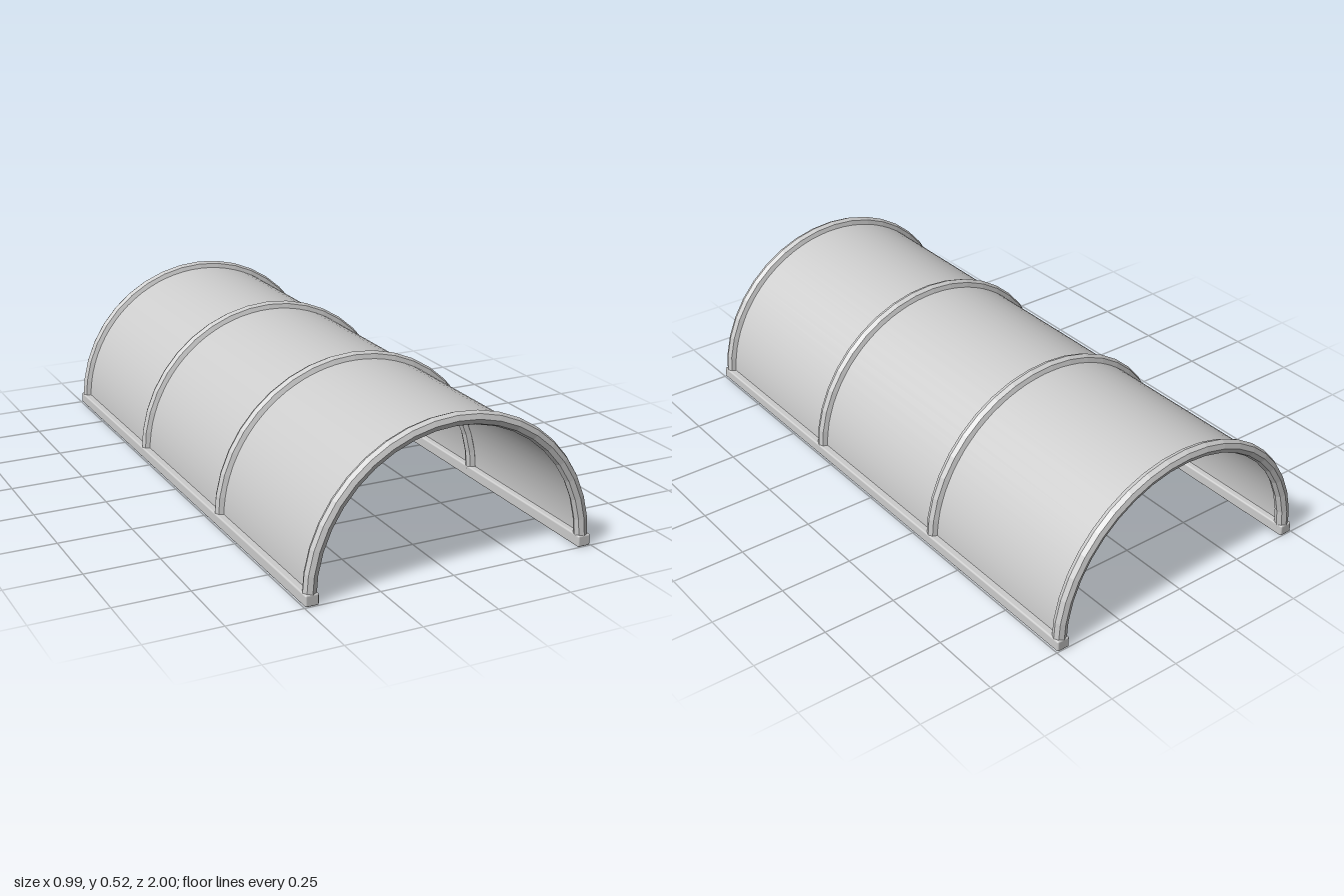
import * as THREE from 'three';
import { RoundedBoxGeometry } from 'three/addons/geometries/RoundedBoxGeometry.js';

const RADIUS = 0.4745, TUBE = 0.0225, BASE = 0.0195, SEGMENTS = 20;

export function createModel() {
  const group = new THREE.Group();
  const skin = new THREE.MeshStandardMaterial({ color: 0xcccccc, side: THREE.DoubleSide });
  skin.name = 'light grey skin';
  const frame = skin.clone();
  frame.name = 'light grey frame';
  frame.flatShading = true;

  const add = (name, geometry, material, x, y, z) => {
    const mesh = new THREE.Mesh(geometry, material);
    mesh.name = name;
    mesh.position.set(x, y, z);
    group.add(mesh);
  };

  // thin half-cylinder cover
  const cover = new THREE.CylinderGeometry(RADIUS, RADIUS, 1.956, SEGMENTS * 2, 1, true, -Math.PI / 2, Math.PI);
  cover.rotateX(-Math.PI / 2);
  add('cover', cover, skin, 0, BASE, 0);

  // eight-sided arched ribs
  const rib = new THREE.TorusGeometry(RADIUS, TUBE, 8, SEGMENTS, Math.PI);
  [0.9775, 0.332, -0.332, -0.9775].forEach((z, i) => add('rib' + (i + 1), rib, frame, 0, BASE, z));

  // softly bevelled rails along the ground
  const rail = new RoundedBoxGeometry(0.045, 0.039, 2, 2, 0.006);
  add('leftRail', rail, skin, RADIUS, BASE, 0);
  add('rightRail', rail, skin, -RADIUS, BASE, 0);

  return group;
}
